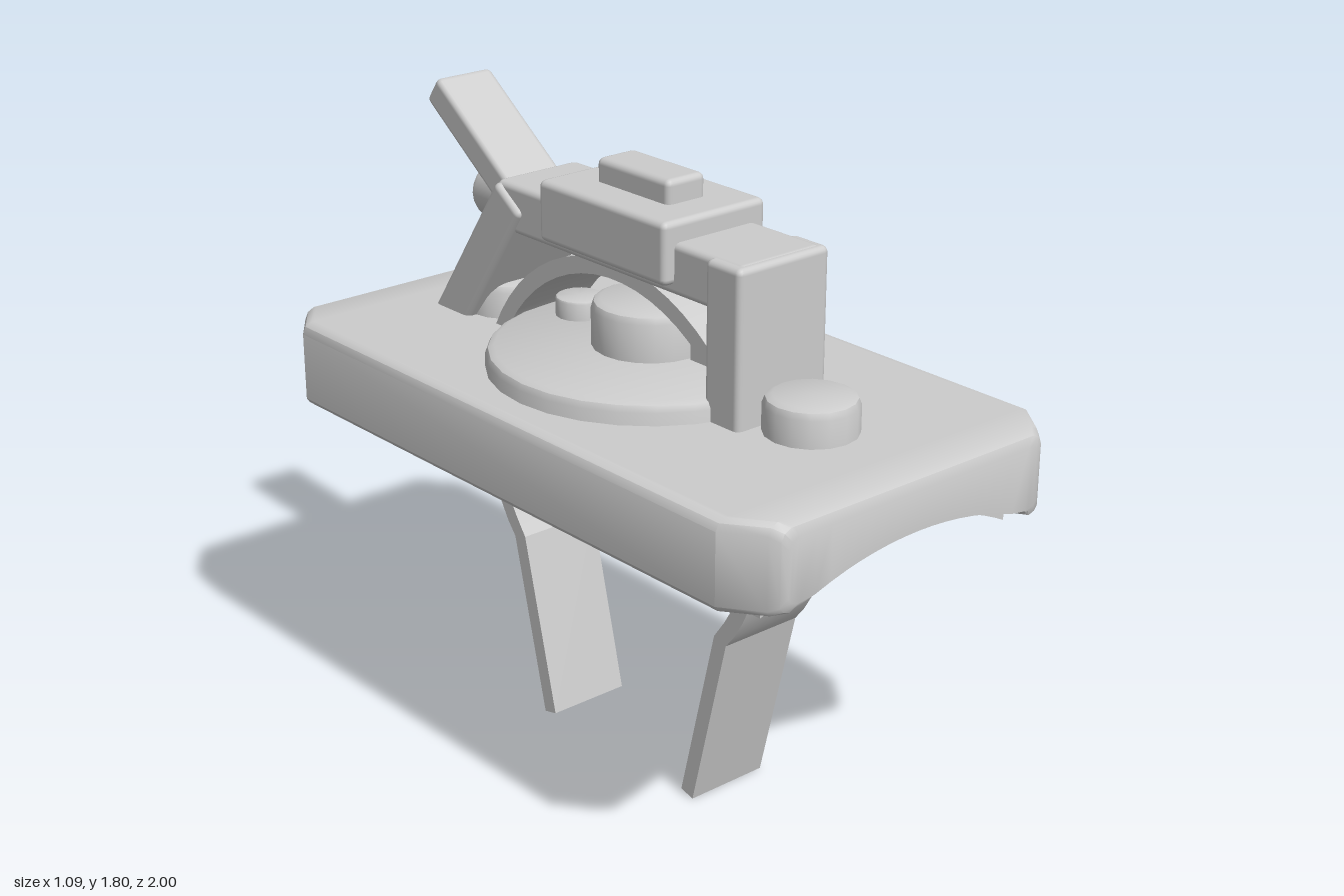
import * as THREE from 'three';
import { toCreasedNormals } from 'three/addons/utils/BufferGeometryUtils.js';
import { RoundedBoxGeometry } from 'three/addons/geometries/RoundedBoxGeometry.js';

const rad = THREE.MathUtils.degToRad;

export function createModel() {
  const group = new THREE.Group();
  const grey = new THREE.MeshStandardMaterial({ color: 0xcccccc });
  grey.name = 'light grey';

  function add(name, geometry, x = 0, y = 0, z = 0, tilt = 0) {
    const mesh = new THREE.Mesh(geometry, grey);
    mesh.name = name;
    mesh.position.set(x, y, z);
    mesh.rotation.x = tilt;
    group.add(mesh);
    return mesh;
  }
  const box = (w, h, d, r = 0.018) => new RoundedBoxGeometry(w, h, d, 2, r);
  const lathe = (points, sides) => toCreasedNormals(
    new THREE.LatheGeometry(points.map(p => new THREE.Vector2(...p)), sides), 0.6);
  // cylinder with a softened top edge
  const knob = (r, y0, y1, b, sides) => lathe([
    [0, y0], [r, y0], [r, y1 - b], [r - b * 0.3, y1 - b * 0.3], [r - b, y1], [0, y1]], sides);

  // Base slab: arched underside, chamfered corners and soft edges
  const arch = x => Math.abs(x) < 0.45 ? 1.015 - (1.06 - Math.sqrt(1.06 ** 2 - x * x)) : 0.915;
  const section = (z, w, e) => {
    const half = [[w, 0.03], [w - 0.01, 0.01], [w - 0.03, 0]];
    const xs = half.map(([x, d]) => [-x, d]);
    for (let i = -8; i <= 8; i++) xs.push([i / 8 * (w - 0.04), 0]);
    xs.push(...half.reverse());
    const bottom = xs.map(([x, d]) => [x, Math.max(arch(x), 0.915 + e + d * 0.7), z]);
    const top = xs.map(([x, d]) => [x, 1.16 - e - d, z]);
    return { bottom, top, ring: [...bottom, ...top.slice().reverse()] };
  };
  const ends = [[0.865, 0.545, 0], [0.965, 0.471, 0], [0.99, 0.452, 0.012], [1, 0.435, 0.035]];
  const stations = [...ends.slice().reverse().map(([z, w, e]) => [-z, w, e]), ...ends]
    .map(s => section(...s));
  const pos = [];
  const quad = (a, b, c, d) => pos.push(...a, ...b, ...c, ...a, ...c, ...d);
  for (let k = 0; k < stations.length - 1; k++) {
    const p = stations[k].ring, q = stations[k + 1].ring;
    p.forEach((v, i) => {
      const j = (i + 1) % p.length;
      quad(v, p[j], q[j], q[i]);
    });
  }
  const back = stations[0], front = stations[stations.length - 1];
  for (let i = 0; i < back.top.length - 1; i++) {
    quad(front.bottom[i], front.bottom[i + 1], front.top[i + 1], front.top[i]);
    quad(back.top[i], back.top[i + 1], back.bottom[i + 1], back.bottom[i]);
  }
  const slab = new THREE.BufferGeometry();
  slab.setAttribute('position', new THREE.Float32BufferAttribute(pos, 3));
  add('baseSlab', toCreasedNormals(slab, 0.6));

  // Curved liner under the slab
  const liner = new THREE.Shape();
  const low = x => 0.985 - (0.933 - Math.sqrt(0.933 ** 2 - x * x));
  for (let i = -12; i <= 12; i++) {
    const x = i / 12 * 0.43;
    if (i === -12) liner.moveTo(x, low(x)); else liner.lineTo(x, low(x));
  }
  for (let i = 12; i >= -12; i--) liner.lineTo(i / 12 * 0.43, arch(i / 12 * 0.43) + 0.01);
  const linerGeo = new THREE.ExtrudeGeometry(liner, { depth: 1.8, bevelEnabled: false });
  linerGeo.translate(0, 0, -0.9);
  add('liner', toCreasedNormals(linerGeo, 0.5));

  // Turntable disc, hollow below, with hub and small stud
  add('disc', lathe([[0, 0.965], [0.28, 0.965], [0.28, 0.905], [0.43, 0.905], [0.445, 0.92],
    [0.445, 1.195], [0.437, 1.212], [0.42, 1.22], [0, 1.22]], 28));
  add('hub', knob(0.16, 1.2, 1.35, 0.025, 20));
  add('hubUnderside', new THREE.CylinderGeometry(0.19, 0.19, 0.09, 24), 0, 0.955, 0);
  add('stud', knob(0.068, 1.2, 1.275, 0.008, 16), 0, 0, -0.3);

  // Round knobs at both ends
  for (const [name, z] of [['frontKnob', 0.62], ['backKnob', -0.62]])
    add(name, knob(0.126, 1.1, 1.26, 0.025, 16), 0, 0, z);

  // Bridge with front post, slanted back post and top blocks
  add('frontPost', box(0.31, 0.49, 0.13), 0, 1.345, 0.45);
  add('bridge', box(0.28, 0.14, 0.99), 0, 1.522, 0.01);
  add('backPost', box(0.31, 0.7, 0.128), 0, 1.267, -0.617, rad(34.5));
  add('middleBlock', box(0.35, 0.17, 0.51), 0, 1.565, 0);
  add('topButton', box(0.13, 0.1, 0.29), 0, 1.665, 0);

  // Lever and its pivot
  add('lever', box(0.19, 0.093, 0.5), 0, 1.62, -0.635, rad(36));
  add('pivot', knob(0.085, -0.2, 0.195, 0.025, 20), 0, 1.495, -0.49, -Math.PI / 2);

  // Bands: a path in the z-y plane thickened and extruded across x
  function band(name, path) {
    const t = 0.024, inner = [], outer = [];
    path.forEach((p, i) => {
      const a = path[Math.max(i - 1, 0)], b = path[Math.min(i + 1, path.length - 1)];
      const d = b.clone().sub(a).normalize();
      outer.push(new THREE.Vector2(p.x - d.y * t, p.y + d.x * t));
      inner.push(new THREE.Vector2(p.x + d.y * t, p.y - d.x * t));
    });
    const shape = new THREE.Shape([...outer, ...inner.reverse()]);
    const g = new THREE.ExtrudeGeometry(shape, { depth: 0.254, bevelEnabled: false });
    g.translate(0, 0, -0.127).rotateY(-Math.PI / 2);
    add(name, toCreasedNormals(g, 0.3));
  }
  const arc = (from, to, n) => Array.from({ length: n + 1 }, (_, i) => {
    const a = rad(from + (to - from) * i / n);
    return new THREE.Vector2(0.56 * Math.cos(a), 0.89 + 0.56 * Math.sin(a));
  });
  band('frontStrap', [...arc(20, -40, 10), new THREE.Vector2(0.302, 0.006)]);
  band('backStrap', [...arc(50, 220, 28), new THREE.Vector2(-0.302, 0.006)]);
  add('strapEnd', new THREE.BoxGeometry(0.254, 0.05, 0.08), 0, 1.315, 0.345);

  return group;
}
